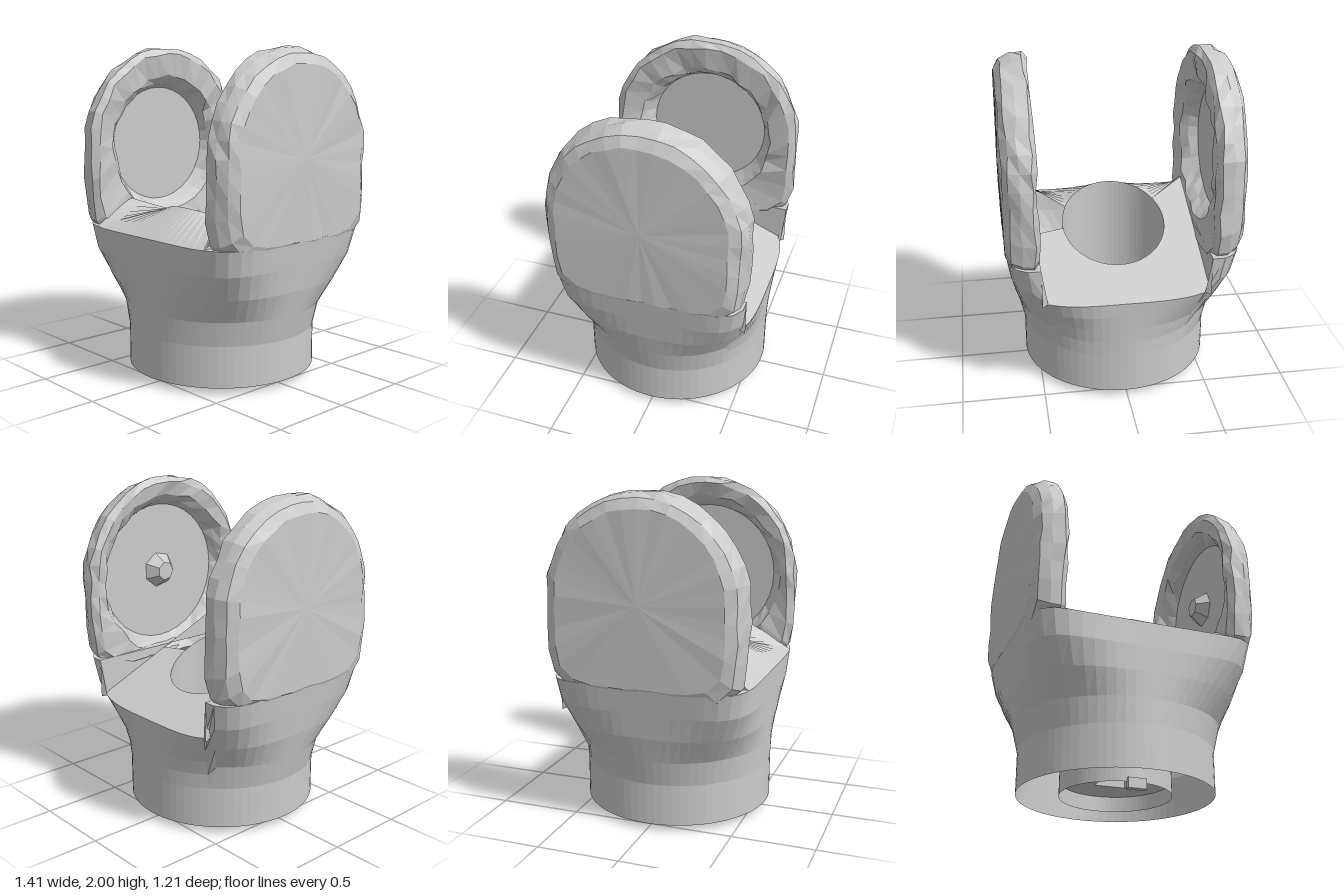
import * as THREE from 'three';

const material = new THREE.MeshStandardMaterial({ color: 0xcccccc, flatShading: true, side: THREE.DoubleSide });
const { lerp, clamp, smoothstep } = THREE.MathUtils;

// Small repeatable random numbers for the rough, hewn surfaces
function seeded(seed) {
  return () => {
    seed = (seed * 16807) % 2147483647;
    return seed / 2147483647 - 0.5;
  };
}

// Skin closed rings of points; skip(band, step) leaves an opening
function loft(rings, { flip = false, skip = () => false } = {}) {
  const pos = [];
  const tri = (a, b, c) => {
    for (const p of flip ? [a, c, b] : [a, b, c]) pos.push(p.x, p.y, p.z);
  };
  for (let i = 0; i < rings.length - 1; i++) {
    const n = rings[i].length;
    for (let j = 0; j < n; j++) {
      if (skip(i, j)) continue;
      const k = (j + 1) % n;
      const a = rings[i][j], b = rings[i][k], c = rings[i + 1][k], d = rings[i + 1][j];
      tri(a, d, b);
      tri(b, d, c);
    }
  }
  const g = new THREE.BufferGeometry();
  g.setAttribute('position', new THREE.Float32BufferAttribute(pos, 3));
  g.computeVertexNormals();
  return g;
}

function add(parent, name, geometry, x = 0, y = 0, z = 0) {
  const mesh = new THREE.Mesh(geometry, material);
  mesh.name = name;
  mesh.position.set(x, y, z);
  parent.add(mesh);
  return mesh;
}

// Half width of the body at a height: round collar flaring to a rounded square
const bodyX = (y) => (y < 0.6
  ? lerp(0.58, 0.65, clamp((y - 0.29) / 0.31, 0, 1))
  : lerp(0.65, 0.7, clamp((y - 0.6) / 0.35, 0, 1)));

function bodyPoint(angle, y) {
  const t = smoothstep(y, 0.29, 0.92);
  const a = bodyX(y), b = lerp(0.58, 0.6, t), e = lerp(2, 7, t * t);
  const c = Math.cos(angle), s = Math.sin(angle);
  const r = (Math.abs(c / a) ** e + Math.abs(s / b) ** e) ** (-1 / e);
  return new THREE.Vector3(r * c, y, r * s);
}

// Saddle between the arms: crest in front of the bore, sloping down to the back
const deckY = (z) => (z > 0.33 ? 1.05 - (z - 0.33) * 0.59 : 1.05 + (z - 0.33) * 0.43);
const shoulderY = 0.9;

function bodyGeometry() {
  const n = 72;
  const ring = (f) => Array.from({ length: n }, (_, j) => f((j / n) * Math.PI * 2));
  const circle = (r, height) => ring((a) => new THREE.Vector3(
    r * Math.cos(a), height(r * Math.sin(a)), r * Math.sin(a)));
  // Shoulders stand up under the arms; between them the wall ends at the saddle
  const topY = (a) => {
    let y = shoulderY;
    if (Math.abs(bodyPoint(a, y).x) > 0.5) return y;
    for (let i = 0; i < 8; i++) y = (deckY(bodyPoint(a, y).z) + y) / 2;
    return y;
  };
  const inner = (a) => {
    const p = bodyPoint(a, topY(a));
    p.x = clamp(p.x, -0.5, 0.5);
    return p;
  };
  const rings = [
    ring((a) => bodyPoint(a, 0.04)),
    ring((a) => bodyPoint(a, 0.29)),
    ...[0.25, 0.5, 0.75, 1].map((t) => ring((a) => bodyPoint(a, lerp(0.29, topY(a), t)))),
    ring(inner),
    ring((a) => {
      const p = inner(a);
      return p.setY(deckY(p.z));
    }),
    circle(0.32, deckY),
    circle(0.33, () => 0.04),
  ];
  // A slot beside the bore opens through the saddle into the hollow collar
  return loft(rings, { skip: (i, j) => i === 7 && (j < 5 || j === n - 1) });
}

// Arm with a domed outline and a dished round recess on its inner face
function armGeometry(side, recess) {
  const n = 36, rand = seeded(side > 0 ? 17 : 91);
  const outline = (c, s) => (s > 0 ? 0.6 : (Math.abs(c / 0.6) ** 6 + Math.abs(s / 0.6) ** 6) ** (-1 / 6));
  // [x, outline scale, or round radius, roughness]
  const loops = [
    [0.62, 0, 0, 0],
    [0.62, 0, recess, 0],
    [0.57, 0, recess + 0.03, 0.03],
    [0.52, 0, recess + 0.07, 0.03],
    [0.5, 0.93, 0, 0.02],
    [0.53, 1, 0, 0.02],
    [0.6, 0.985, 0, 0.02],
    [0.66, 0.94, 0, 0.015],
    [0.695, 0.84, 0, 0.01],
    [0.705, 0, 0, 0],
  ];
  const rings = loops.map(([x, scale, radius, rough]) => Array.from({ length: n }, (_, j) => {
    const a = (j / n) * Math.PI * 2, c = Math.cos(a), s = Math.sin(a);
    const r = (scale ? scale * outline(c, s) : radius) + rand() * rough;
    const y = Math.min((scale ? 1.4 : 1.37) + r * s, 2);
    const px = Math.min(x + rand() * rough, bodyX(y) + 0.005);
    return new THREE.Vector3(side * px, y, r * c);
  }));
  return loft(rings, { flip: side < 0 });
}

// Bore floor with a square drive hole
function floorGeometry() {
  const shape = new THREE.Shape().absarc(0, 0, 0.325, 0, Math.PI * 2);
  const h = 0.095;
  shape.holes.push(new THREE.Path([
    new THREE.Vector2(-h, -h), new THREE.Vector2(-h, h), new THREE.Vector2(h, h), new THREE.Vector2(h, -h),
  ]));
  const g = new THREE.ExtrudeGeometry(shape, { depth: 0.07, bevelEnabled: false, curveSegments: 18 });
  return g.rotateX(-Math.PI / 2);
}

export function createModel() {
  const model = new THREE.Group();
  model.name = 'forkJoint';
  add(model, 'body', bodyGeometry());
  add(model, 'boreFloor', floorGeometry(), 0, 0.13, 0);
  add(model, 'leftArm', armGeometry(1, 0.44));
  add(model, 'rightArm', armGeometry(-1, 0.37));
  // Small boss in the left recess
  const boss = add(model, 'recessBoss', new THREE.CylinderGeometry(0.06, 0.12, 0.08, 7), 0.585, 1.38, 0);
  boss.rotation.z = Math.PI / 2;
  // Locating tab under the bore wall
  add(model, 'bottomTab', new THREE.BoxGeometry(0.11, 0.06, 0.04), 0, 0.03, 0.33);
  return model;
}
